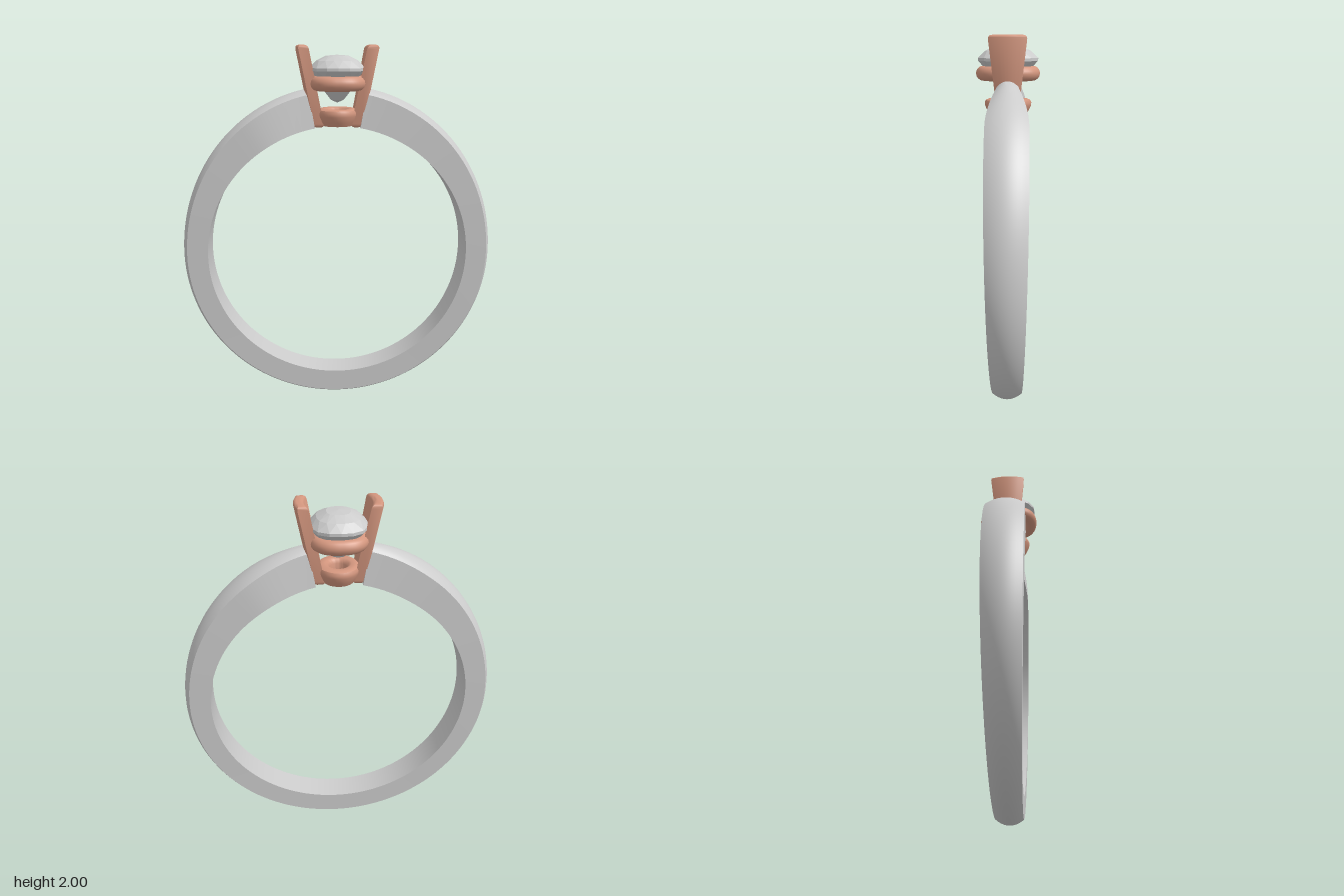
import * as THREE from 'three';
import { toCreasedNormals } from 'three/addons/utils/BufferGeometryUtils.js';

const CENTER_Y = 0.868;
const { lerp, smoothstep } = THREE.MathUtils;
const silver = new THREE.MeshStandardMaterial({ color: 0xcccccc });
const gemMaterial = new THREE.MeshStandardMaterial({ color: 0xcccccc, flatShading: true });
const rose = new THREE.MeshStandardMaterial({ color: 0xd3967e });

// Skins a list of closed cross-sections, each holding the same number of points
function loft(sections) {
  const n = sections[0].length;
  const index = [];
  for (let i = 0; i < sections.length - 1; i++) {
    for (let j = 0; j < n; j++) {
      const k = (j + 1) % n;
      const a = i * n + j, b = i * n + k;
      index.push(a, b, a + n, b, b + n, a + n);
    }
  }
  const geometry = new THREE.BufferGeometry();
  geometry.setAttribute('position', new THREE.Float32BufferAttribute(sections.flat(2), 3));
  geometry.setIndex(index);
  geometry.computeVertexNormals();
  return geometry;
}

// Rounded-square plan outline
function cushion(angle, rx, rz) {
  const c = Math.cos(angle), s = Math.sin(angle);
  const r = 1 / Math.pow(Math.abs(c) ** 2.6 + Math.abs(s) ** 2.6, 1 / 2.6);
  return [rx * r * c, rz * r * s];
}

// Band: domed outside, flat inside, narrowing to the shoulders and to the base
function bandSection(phi) {
  const fromTop = Math.min(phi, 2 * Math.PI - phi);
  const c = Math.cos(phi);
  const outer = 0.86 + (c > 0 ? 0.065 : 0.008) * c * c;
  const width = lerp(0.108, 0.075, smoothstep(fromTop, 0.6, Math.PI));
  const taper = smoothstep(fromTop, 0.05, 0.62);
  const innerW = width * lerp(0.6, 1, taper);
  const outerW = width * lerp(0.42, 0.98, taper);
  const profile = [];
  for (let i = 0; i <= 12; i++) {
    const u = i / 6 - 1;
    profile.push([outer - 0.03 * u * u, u * outerW]);
  }
  profile.push([0.716, innerW], [0.716, -innerW]);
  return profile.map(([r, z]) => [r * Math.sin(phi), CENTER_Y + r * c, z]);
}

function makeBand() {
  const start = 0.17, steps = 120;
  const sections = [];
  for (let i = 0; i <= steps; i++) {
    sections.push(bandSection(lerp(start, 2 * Math.PI - start, i / steps)));
  }
  // Close both ends by collapsing the section to its middle
  const cap = (s) => {
    const mid = [0, 1, 2].map((k) => s.reduce((sum, p) => sum + p[k], 0) / s.length);
    return s.map(() => mid);
  };
  sections.unshift(cap(sections[0]));
  sections.push(cap(sections[sections.length - 1]));
  return new THREE.Mesh(toCreasedNormals(loft(sections), 0.45), silver);
}

// Faceted cushion stone: [size, height, twist in half facets]
function makeStone() {
  const n = 16;
  const layers = [
    [0, 1.95, 0], [0.42, 1.945, 0], [0.76, 1.921, 1], [1, 1.885, 2], [1, 1.87, 2],
    [0.8, 1.838, 3], [0.52, 1.77, 4], [0.24, 1.718, 5], [0, 1.702, 5],
  ];
  const sections = layers.map(([size, y, twist]) => Array.from({ length: n }, (_, j) => {
    const [x, z] = cushion(((j + twist / 2) / n) * 2 * Math.PI, 0.145 * size, 0.16 * size);
    return [x, y, z];
  }));
  return new THREE.Mesh(loft(sections), gemMaterial);
}

// Prong: bowed plate, leaning outward and widening upward
function prongGeometry() {
  const height = 0.425, bevel = 0.02, bow = 0.012;
  const t = 0.028 - bevel, w = 0.1 - bevel;
  const plan = new THREE.Shape();
  plan.moveTo(-t - bow, -w);
  plan.lineTo(t - bow, -w);
  plan.quadraticCurveTo(t + bow, 0, t - bow, w);
  plan.lineTo(-t - bow, w);
  plan.quadraticCurveTo(-t + bow, 0, -t - bow, -w);
  const geometry = new THREE.ExtrudeGeometry(plan, {
    depth: height - 2 * bevel, bevelEnabled: true, bevelSize: bevel,
    bevelThickness: bevel, bevelSegments: 4, curveSegments: 8,
  });
  geometry.rotateX(-Math.PI / 2).translate(0, bevel, 0);
  const p = geometry.attributes.position;
  for (let i = 0; i < p.count; i++) {
    const k = p.getY(i) / height;
    p.setX(i, p.getX(i) + lerp(0.112, 0.195, k));
    p.setZ(i, p.getZ(i) * lerp(0.52, 1, k));
  }
  geometry.translate(0, 2 - height, 0);
  return toCreasedNormals(geometry, 0.7);
}

// Round-wire gallery rail under the stone
function makeUpperRail() {
  const points = Array.from({ length: 24 }, (_, i) => {
    const [x, z] = cushion((i / 24) * 2 * Math.PI, 0.114, 0.132);
    return new THREE.Vector3(x, 1.806, z);
  });
  const path = new THREE.CatmullRomCurve3(points, true);
  return new THREE.Mesh(new THREE.TubeGeometry(path, 72, 0.038, 16, true), rose);
}

// Thick base collar with a flat underside and a small opening
function makeLowerCollar() {
  const profile = [
    [0.045, 1.583], [0.084, 1.583], [0.096, 1.605], [0.108, 1.635], [0.11, 1.652],
    [0.104, 1.666], [0.092, 1.672], [0.066, 1.672], [0.053, 1.665], [0.045, 1.648], [0.045, 1.583],
  ].map(([r, y]) => new THREE.Vector2(r, y));
  const geometry = new THREE.LatheGeometry(profile, 40);
  geometry.scale(1, 1, 1.14);
  return new THREE.Mesh(toCreasedNormals(geometry, 0.7), rose);
}

export function createModel() {
  const model = new THREE.Group();
  model.name = 'ring';
  const add = (name, mesh) => {
    mesh.name = name;
    model.add(mesh);
    return mesh;
  };
  add('band', makeBand());
  add('stone', makeStone());
  add('upperRail', makeUpperRail());
  add('lowerCollar', makeLowerCollar());
  const prong = prongGeometry();
  add('leftProng', new THREE.Mesh(prong, rose));
  add('rightProng', new THREE.Mesh(prong, rose)).rotation.y = Math.PI;
  return model;
}
